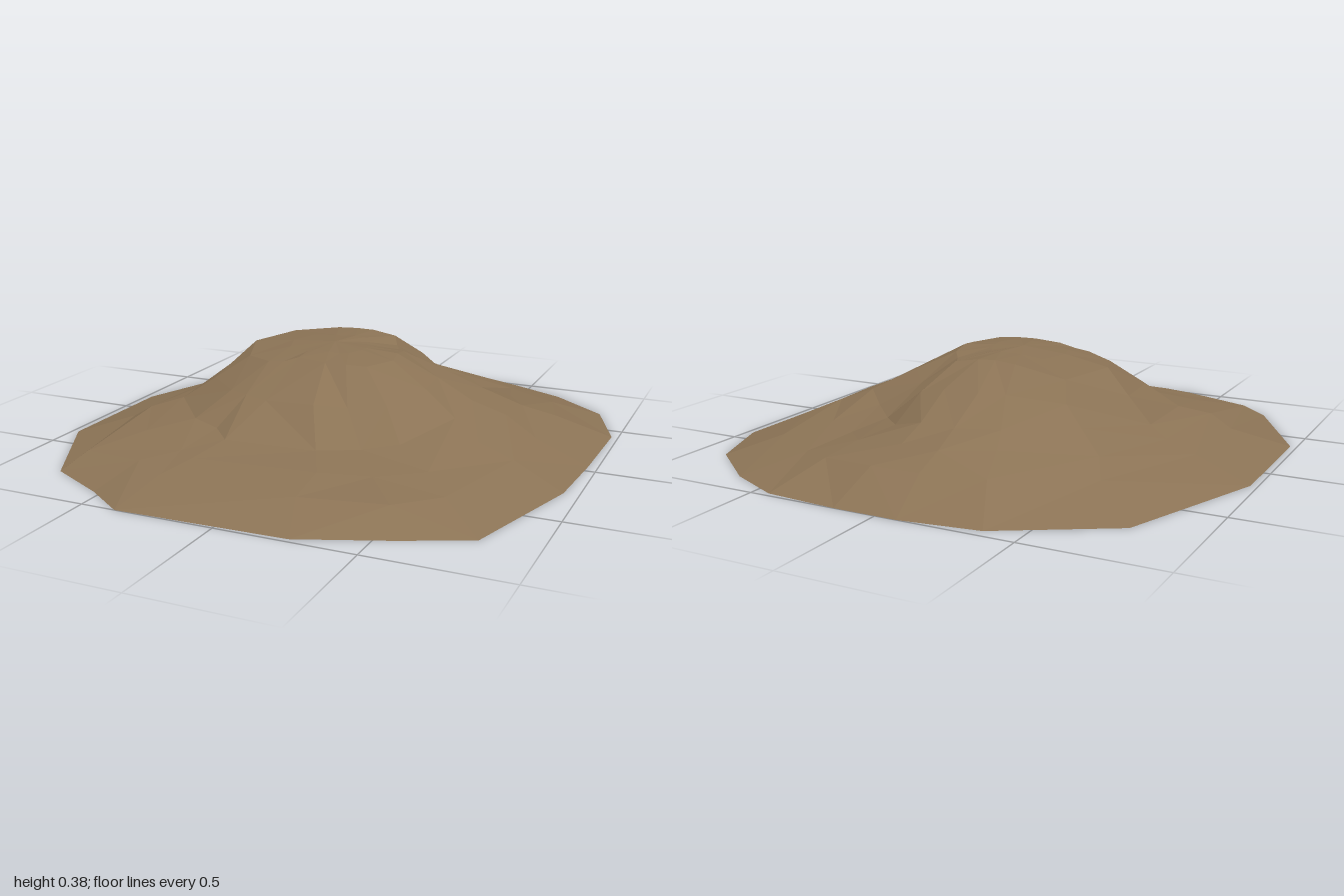
import * as THREE from 'three';

// Ground outline [x, z], running from the back round by the left side
const outline = [
  [-0.08, -1], [0.16, -1], [0.44, -0.98], [0.65, -0.88], [0.87, -0.7], [0.975, -0.42],
  [0.965, -0.05], [0.945, 0.25], [0.8, 0.75], [0.56, 0.86], [0.26, 0.98], [-0.37, 1],
  [-0.53, 0.89], [-0.76, 0.77], [-0.975, 0.37], [-0.975, -0.16], [-0.76, -0.73], [-0.37, -0.96],
];
// Slope rings: share of the outline radius (r) and height (y) along each spoke
const foot = {
  r: [0.82, 0.82, 0.8, 0.78, 0.8, 0.8, 0.8, 0.8, 0.83, 0.88, 0.82, 0.8, 0.82, 0.9, 0.78, 0.77, 0.78, 0.8],
  y: [0.1, 0.1, 0.08, 0.07, 0.07, 0.09, 0.09, 0.08, 0.07, 0.07, 0.07, 0.065, 0.07, 0.06, 0.07, 0.07, 0.08, 0.1],
};
const middle = {
  r: [0.6, 0.6, 0.55, 0.5, 0.5, 0.55, 0.55, 0.56, 0.52, 0.52, 0.52, 0.53, 0.52, 0.52, 0.58, 0.58, 0.56, 0.58],
  y: [0.2, 0.2, 0.16, 0.15, 0.16, 0.19, 0.2, 0.18, 0.14, 0.12, 0.12, 0.12, 0.13, 0.14, 0.15, 0.15, 0.2, 0.2],
};
const crown = {
  r: [0.28, 0.29, 0.3, 0.26, 0.23, 0.25, 0.26, 0.28, 0.26, 0.25, 0.22, 0.18, 0.23, 0.25, 0.32, 0.38, 0.41, 0.3],
  y: [0.37, 0.37, 0.35, 0.33, 0.335, 0.345, 0.355, 0.35, 0.35, 0.355, 0.355, 0.355, 0.335, 0.33, 0.32, 0.335, 0.33, 0.365],
};

function seeded(seed) {
  return () => {
    seed = (seed * 16807) % 2147483647;
    return (seed / 2147483647) * 2 - 1;
  };
}

// Ring halfway between two others
function between(a, b) {
  return {
    r: a.r.map((v, i) => (v + b.r[i]) / 2),
    y: a.y.map((v, i) => (v + b.y[i]) / 2),
    rough: 1,
  };
}

function moundGeometry() {
  const n = outline.length;
  const rand = seeded(71);
  const cx = -0.03;
  const base = { r: Array(n).fill(1), y: Array(n).fill(0), rough: 0 };
  const top = { r: crown.r.map((v) => v * 0.5), y: crown.y.map((v) => v * 0.3 + 0.262) };
  const rings = [base, foot, between(foot, middle), middle, between(middle, crown), crown, top];

  // Lay out the rings, roughening the earth above the ground line
  const points = [];
  for (const { r: radii, y: heights, rough = 0.4 } of rings) {
    for (let i = 0; i < n; i++) {
      const [x, z] = outline[i];
      const r = radii[i] * (1 + rand() * 0.035 * rough);
      const slip = rand() * 0.06 * rough * r;
      const y = heights[i] + rand() * 0.007 * rough;
      points.push(cx + (x - cx) * r - z * slip, y, z * r + x * slip);
    }
  }
  const tip = points.length / 3;
  points.push(cx, 0.376, -0.02);

  // Join the rings, mixing the diagonals
  const index = [];
  for (let k = 0; k < rings.length - 1; k++) {
    for (let i = 0; i < n; i++) {
      const j = (i + 1) % n;
      const a = k * n + i, b = k * n + j, c = a + n, d = b + n;
      if (rand() > 0) index.push(a, c, b, b, c, d);
      else index.push(a, d, b, a, c, d);
    }
  }
  const last = (rings.length - 1) * n;
  for (let i = 0; i < n; i++) index.push(last + i, tip, last + ((i + 1) % n));

  const geometry = new THREE.BufferGeometry();
  geometry.setAttribute('position', new THREE.Float32BufferAttribute(points, 3));
  geometry.setIndex(index);
  const faceted = geometry.toNonIndexed();
  faceted.computeVertexNormals();
  return faceted;
}

export function createModel() {
  const group = new THREE.Group();
  group.name = 'dirtMound';
  const earth = new THREE.MeshStandardMaterial({ color: 0x8b7355, flatShading: true, side: THREE.DoubleSide });
  earth.name = 'brown earth';

  // Open-bottomed heap of earth
  const mound = new THREE.Mesh(moundGeometry(), earth);
  mound.name = 'mound';
  group.add(mound);
  return group;
}
